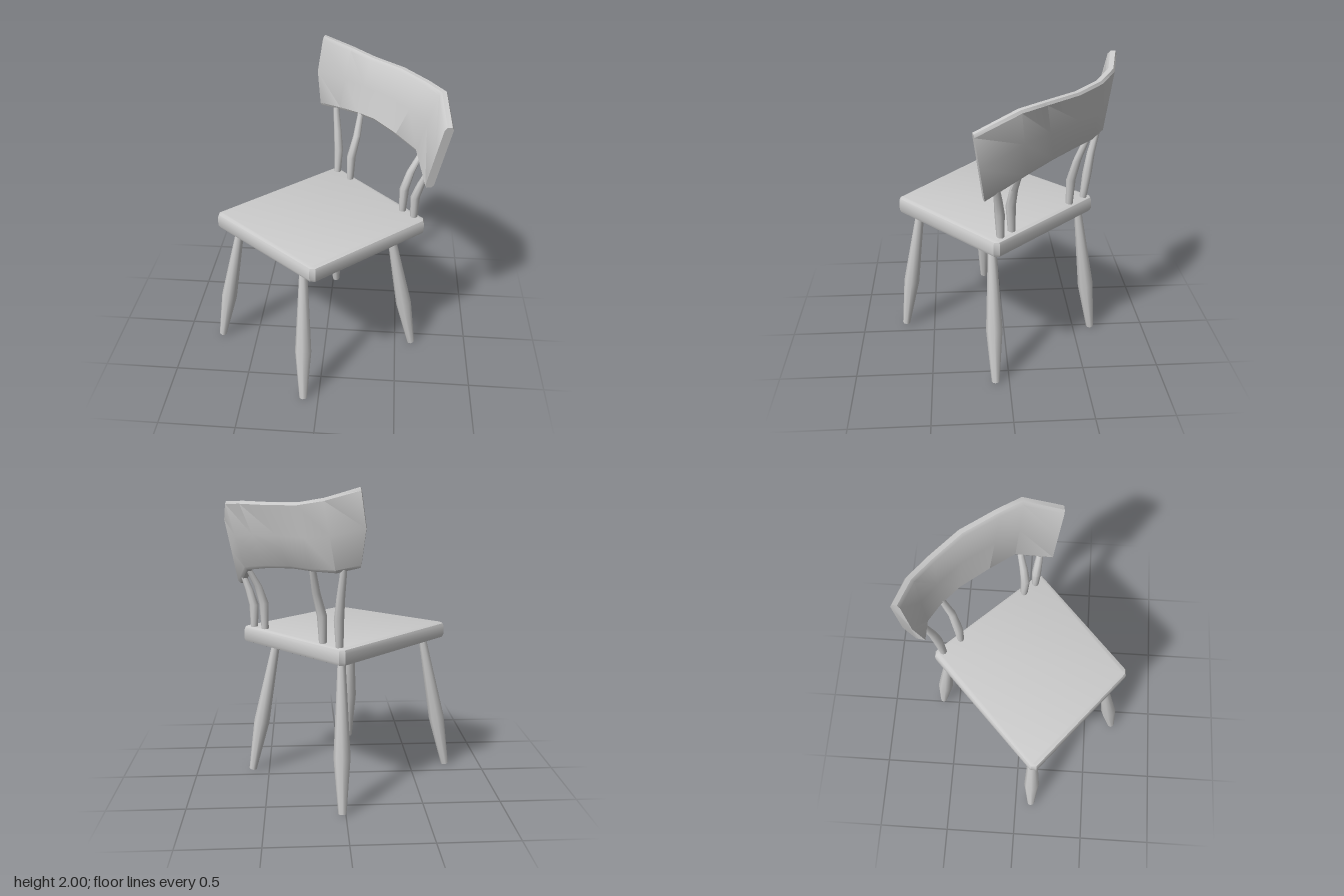
import * as THREE from 'three';
import { toCreasedNormals } from 'three/addons/utils/BufferGeometryUtils.js';

const material = new THREE.MeshStandardMaterial({ color: 0xcccccc });
const V = (x, y, z) => new THREE.Vector3(x, y, z);

function part(name, geometry, crease = 0.85) {
  const mesh = new THREE.Mesh(toCreasedNormals(geometry, crease), material);
  mesh.name = name;
  return mesh;
}

// Skins closed rings of points (counterclockwise about the path) and caps both ends
function loft(rings) {
  const n = rings[0].length, m = rings.length, pos = [], index = [];
  const centre = ring => ring.reduce((s, p) => s.add(p), V(0, 0, 0)).divideScalar(n);
  for (const p of [...rings.flat(), centre(rings[0]), centre(rings[m - 1])]) pos.push(p.x, p.y, p.z);
  for (let j = 0; j < n; j++) {
    const k = (j + 1) % n;
    for (let i = 0; i < m - 1; i++) {
      const a = i * n + j, b = i * n + k;
      index.push(a, b, b + n, a, b + n, a + n);
    }
    index.push(n * m, k, j, n * m + 1, (m - 1) * n + j, (m - 1) * n + k);
  }
  const g = new THREE.BufferGeometry();
  g.setAttribute('position', new THREE.Float32BufferAttribute(pos, 3));
  g.setIndex(index);
  return g;
}

// Seat: four-cornered slab with clipped corners and rounded rims
function makeSeat() {
  const bevel = 0.027;
  const corners = [[-0.695, 0.12], [-0.03, 0.675], [0.625, 0.08], [0.02, -0.565]]
    .map(([x, z]) => new THREE.Vector2(x, -z));
  const outline = [];
  corners.forEach((c, i) => {
    for (const d of [3, 1]) {
      const dir = corners[(i + d) % 4].clone().sub(c).normalize();
      outline.push(c.clone().addScaledVector(dir, 0.012));
    }
  });
  const g = new THREE.ExtrudeGeometry(new THREE.Shape(outline), {
    depth: 0.11 - 2 * bevel, bevelThickness: bevel, bevelSize: bevel, bevelSegments: 2,
  });
  g.rotateX(-Math.PI / 2).translate(0, 0.94 + bevel, 0);
  return part('seat', g, 0.5);
}

// Leg: turned, widest a third of the way up, splayed from foot to seat
function makeLeg(name, foot, top) {
  const axis = top.clone().sub(foot), h = axis.length();
  const profile = [[0, 0], [0.026, 0], [0.053, 0.37 * h], [0.024, h], [0, h]]
    .map(([r, y]) => new THREE.Vector2(r, y));
  const leg = part(name, new THREE.LatheGeometry(profile, 8));
  leg.position.copy(foot);
  leg.quaternion.setFromUnitVectors(V(0, 1, 0), axis.normalize());
  return leg;
}

// Spindle: bent stick, thicker near its lower middle
function makeSpindle(name, points) {
  const radii = [0.023, 0.031, 0.026, 0.021, 0.02];
  return part(name, loft(points.map(([x, y, z], i) =>
    Array.from({ length: 8 }, (_, j) => {
      const a = (j / 8) * Math.PI * 2;
      return V(x + radii[i] * Math.cos(a), y, z - radii[i] * Math.sin(a));
    }))));
}

// Backrest: curved board leaning outward, lofted through upright sections
function makeBackrest() {
  // bottom point, top point, sideways bulge at mid height
  const columns = [
    [V(-0.085, 1.54, -0.595), V(-0.075, 2.0, -0.69), -0.033],
    [V(0.05, 1.51, -0.6), V(0.12, 1.94, -0.642), 0],
    [V(0.18, 1.51, -0.525), V(0.27, 1.908, -0.545), 0],
    [V(0.3, 1.513, -0.42), V(0.46, 1.9, -0.385), 0],
    [V(0.45, 1.49, -0.25), V(0.615, 1.894, -0.18), 0],
    [V(0.585, 1.455, -0.09), V(0.71, 1.885, -0.04), 0],
    [V(0.65, 1.325, 0.155), V(0.742, 1.765, 0.212), 0],
  ];
  const section = [[1, 0.04], [1, 0.5], [1, 0.96], [0.55, 1], [-0.55, 1],
    [-1, 0.96], [-1, 0.5], [-1, 0.04], [-0.55, 0], [0.55, 0]];
  const half = 0.028;
  const rings = columns.map(([low, high, bulge], i) => {
    const a = columns[Math.max(i - 1, 0)], b = columns[Math.min(i + 1, columns.length - 1)];
    const t = b[0].clone().add(b[1]).sub(a[0]).sub(a[1]).setY(0).normalize();
    const out = V(t.z, 0, -t.x);
    return section.map(([s, h]) => low.clone().lerp(high, h)
      .addScaledVector(out, s * half)
      .addScaledVector(t, bulge * 4 * h * (1 - h)));
  });
  return part('backrest', loft(rings), 0.7);
}

export function createModel() {
  const chair = new THREE.Group();
  chair.name = 'chair';
  chair.add(makeSeat(), makeBackrest());

  const legs = {
    leftFrontLeg: [V(-0.1, 0.008, 0.705), V(-0.1, 0.96, 0.555)],
    rightFrontLeg: [V(-0.755, 0.008, 0.115), V(-0.565, 0.96, 0.11)],
    leftBackLeg: [V(0.615, 0.008, 0.09), V(0.425, 0.96, 0.1)],
    rightBackLeg: [V(0.022, 0.008, -0.625), V(0.02, 0.96, -0.495)],
  };
  for (const [name, [foot, top]] of Object.entries(legs)) chair.add(makeLeg(name, foot, top));

  const spindles = [
    [[0.033, 1.03, -0.525], [0.038, 1.22, -0.545], [0.028, 1.36, -0.565], [0.015, 1.5, -0.598], [0.015, 1.55, -0.605]],
    [[0.13, 1.03, -0.42], [0.135, 1.22, -0.425], [0.17, 1.37, -0.455], [0.188, 1.5, -0.5], [0.192, 1.55, -0.515]],
    [[0.5, 1.03, -0.018], [0.505, 1.22, -0.01], [0.54, 1.34, -0.025], [0.585, 1.43, -0.045], [0.61, 1.48, -0.05]],
    [[0.575, 1.03, 0.055], [0.575, 1.2, 0.06], [0.605, 1.3, 0.07], [0.635, 1.38, 0.08], [0.65, 1.42, 0.085]],
  ];
  spindles.forEach((points, i) => chair.add(makeSpindle(`spindle${i + 1}`, points)));
  return chair;
}
